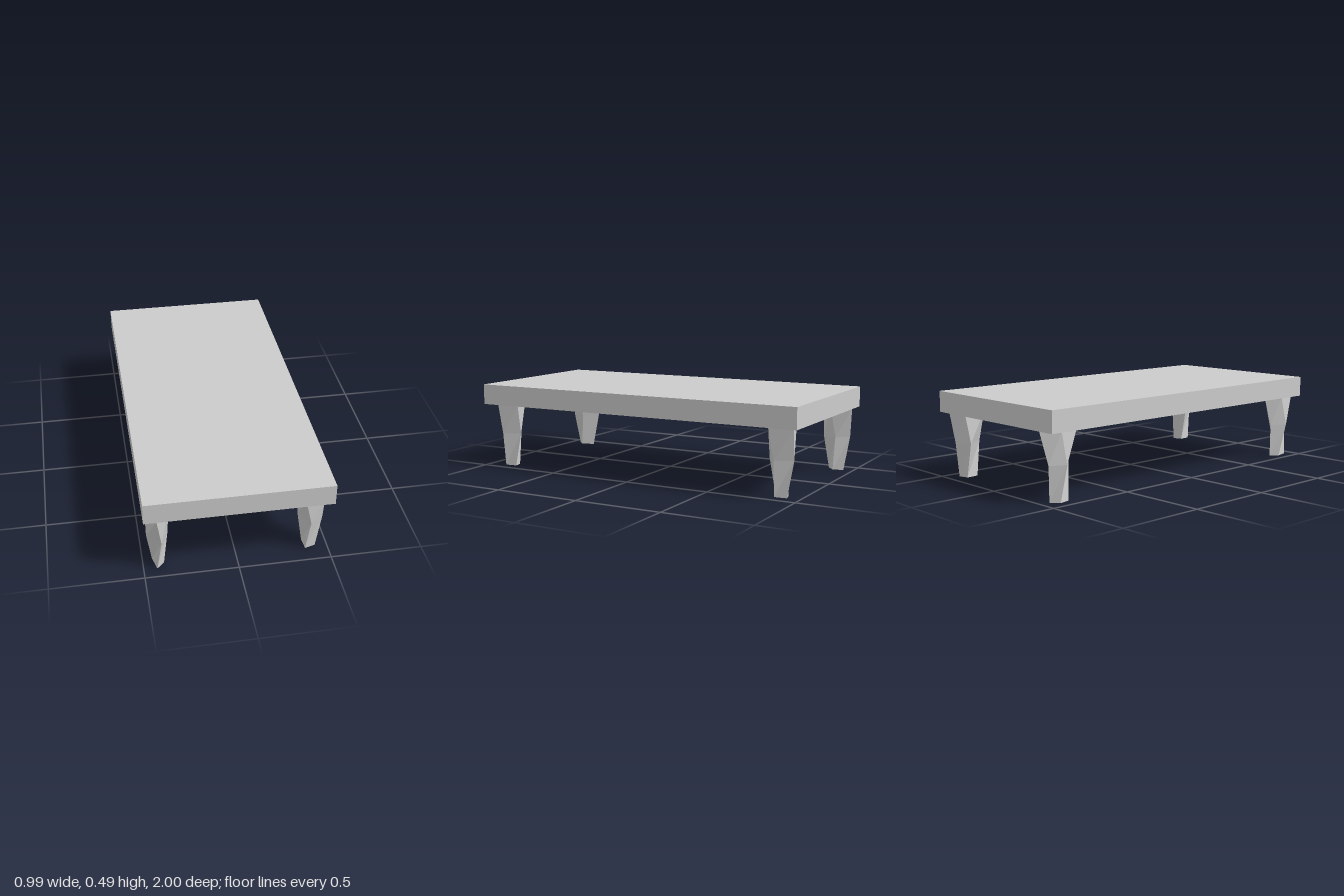
import * as THREE from 'three';

const material = new THREE.MeshStandardMaterial({ color: 0xcccccc, flatShading: true });
const LEVELS = [0, 0.197, 0.372];

// Twisted four-sided leg. Each section is a parallelogram about the axis, given by
// two neighbouring corners [ax, az, bx, bz]; the other two mirror them.
function makeLeg(name, x, z, sections) {
  const points = [], index = [];
  sections.forEach(([ax, az, bx, bz], level) => {
    for (const [px, pz] of [[ax, az], [bx, bz], [-ax, -az], [-bx, -bz]]) {
      points.push(px, LEVELS[level], pz);
    }
  });
  for (let level = 0; level < sections.length - 1; level++) {
    for (let i = 0; i < 4; i++) {
      const a = level * 4 + i, b = level * 4 + (i + 1) % 4;
      index.push(a, b, b + 4, a, b + 4, a + 4);
    }
  }
  const top = (sections.length - 1) * 4;
  index.push(0, 2, 1, 0, 3, 2, top, top + 1, top + 2, top, top + 2, top + 3);
  const indexed = new THREE.BufferGeometry();
  indexed.setAttribute('position', new THREE.Float32BufferAttribute(points, 3));
  indexed.setIndex(index);
  const geometry = indexed.toNonIndexed();
  geometry.computeVertexNormals();
  const leg = new THREE.Mesh(geometry, material);
  leg.name = name;
  leg.position.set(x, 0, z);
  return leg;
}

export function createModel() {
  const table = new THREE.Group();
  table.name = 'lowTable';

  // Thick rectangular slab
  const slab = new THREE.Mesh(new THREE.BoxGeometry(0.992, 0.118, 2), material);
  slab.name = 'tableTop';
  slab.position.y = 0.43;
  table.add(slab);

  // Leg sections from foot to top; the left pair shares one shape
  const leftLeg = [
    [-0.026, 0.043, 0.031, 0.028],
    [-0.010, 0.073, 0.063, 0.020],
    [-0.050, 0.083, 0.061, 0.054],
  ];
  const frontRightLeg = [
    [-0.010, 0.060, 0.030, 0.020],
    [0.014, 0.088, 0.058, -0.010],
    [-0.010, 0.120, 0.058, 0.040],
  ];
  const backRightLeg = [
    [-0.015, 0.050, 0.029, 0.012],
    [0.014, 0.076, 0.056, -0.010],
    [-0.030, 0.098, 0.055, 0.022],
  ];
  table.add(
    makeLeg('frontLeftLeg', 0.404, 0.867, leftLeg),
    makeLeg('backLeftLeg', 0.404, -0.885, leftLeg),
    makeLeg('frontRightLeg', -0.418, 0.88, frontRightLeg),
    makeLeg('backRightLeg', -0.414, -0.895, backRightLeg),
  );
  return table;
}
